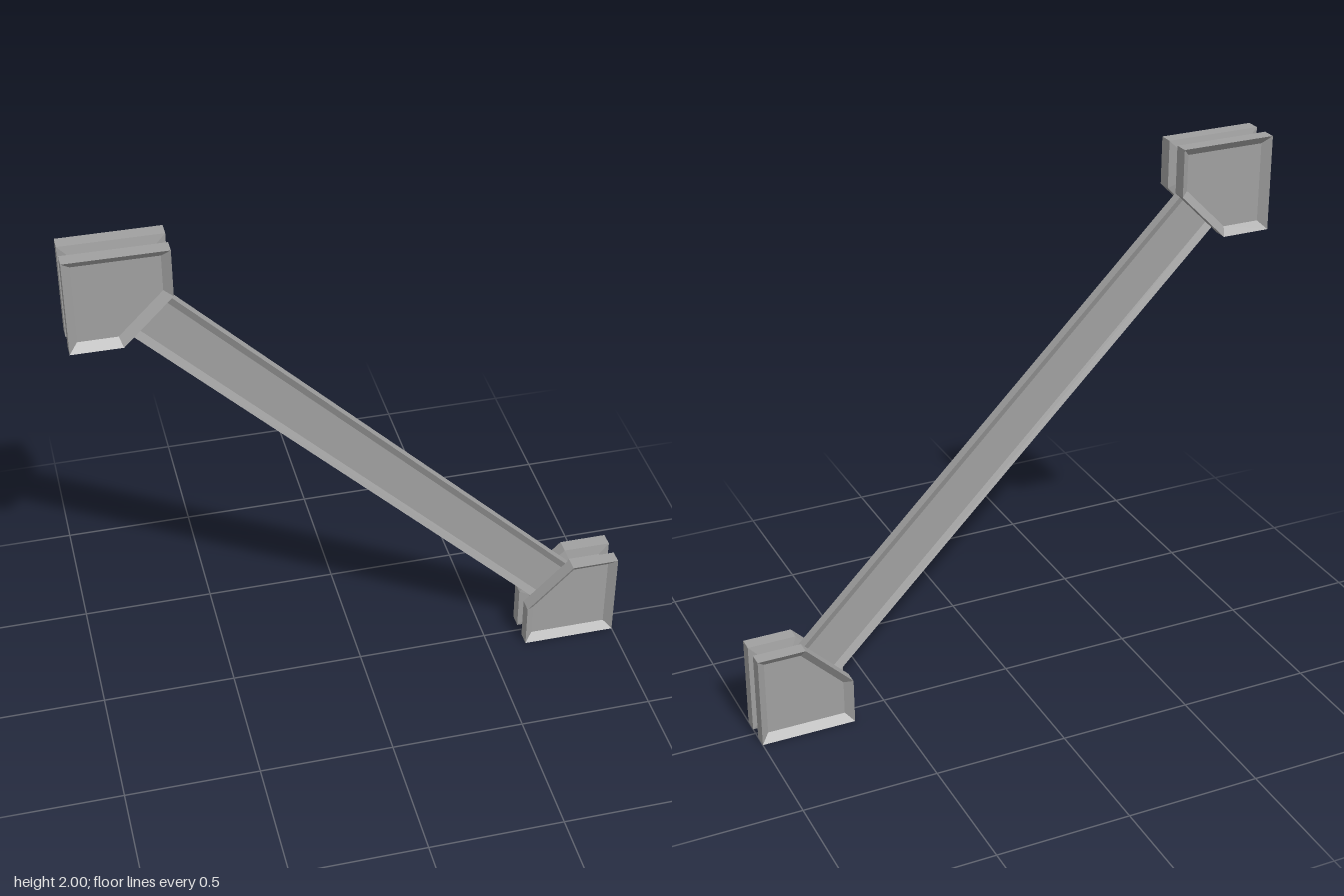
import * as THREE from 'three';

// Bracket outline, counter-clockwise, relative to the model centre
const OUTLINE = [[-1, 0.65], [-0.82, 0.65], [-0.645, 0.825], [-0.645, 1], [-1, 1]]
  .map(([x, y]) => new THREE.Vector2(x, y));

// Move every edge of a convex outline inwards by d
function inset(points, d) {
  const n = points.length;
  return points.map((p, i) => {
    const a = p.clone().sub(points[(i + n - 1) % n]).normalize();
    const b = points[(i + 1) % n].clone().sub(p).normalize();
    const na = new THREE.Vector2(-a.y, a.x), nb = new THREE.Vector2(-b.y, b.x);
    const k = d / (1 + na.dot(nb));
    return p.clone().addScaledVector(na.add(nb), k);
  });
}

// Loft through [inset, z] rings from front to back, with optional end caps
function loft(rings, capFront, capBack) {
  const loops = rings.map(([d, z]) =>
    inset(OUTLINE, d).map(p => new THREE.Vector3(p.x, p.y, z)));
  const n = OUTLINE.length, tris = [];
  for (let r = 0; r < loops.length - 1; r++) {
    const a = loops[r], b = loops[r + 1];
    for (let i = 0; i < n; i++) {
      const j = (i + 1) % n;
      tris.push(a[i], b[i], b[j], a[i], b[j], a[j]);
    }
  }
  const first = loops[0], last = loops[loops.length - 1];
  for (let i = 1; i < n - 1; i++) {
    if (capFront) tris.push(first[0], first[i], first[i + 1]);
    if (capBack) tris.push(last[0], last[i + 1], last[i]);
  }
  const geometry = new THREE.BufferGeometry().setFromPoints(tris);
  geometry.computeVertexNormals();
  return geometry;
}

export function createModel() {
  const metal = new THREE.MeshStandardMaterial({ color: 0xa0a0a0 });
  metal.name = 'greyMetal';
  const model = new THREE.Group();
  model.name = 'diagonalBrace';

  const add = (parent, name, geometry) => {
    const mesh = new THREE.Mesh(geometry, metal);
    mesh.name = name;
    parent.add(mesh);
    return mesh;
  };

  // Dished plate: recessed panel, sharp rim, side wall, slightly tapered inner face
  const plate = [[0.03, 0.055], [0, 0.08], [0, 0.028], [0.04, 0.021]];
  const frontPlate = loft(plate, true, false);
  const backPlate = loft(plate.map(([d, z]) => [d, -z]).reverse(), false, true);
  const core = loft([[0.04, 0.021], [0.04, -0.021]], false, false);

  // Two end brackets, the second turned half a circle
  ['upperBracket', 'lowerBracket'].forEach((name, i) => {
    const bracket = new THREE.Group();
    bracket.name = name;
    add(bracket, 'frontPlate', frontPlate);
    add(bracket, 'backPlate', backPlate);
    add(bracket, 'core', core);
    bracket.position.y = 1;
    bracket.rotation.z = i * Math.PI;
    model.add(bracket);
  });

  // Diagonal beam with a shallow trough along both faces
  const t = 0.019, web = 0.006, h = 0.095, lip = 0.068, length = 2.18;
  const section = new THREE.Shape([
    [t, -h], [web, -lip], [web, lip], [t, h],
    [-t, h], [-web, lip], [-web, -lip], [-t, -h],
  ].map(([x, y]) => new THREE.Vector2(x, y)));
  const beamGeometry = new THREE.ExtrudeGeometry(section, { depth: length, bevelEnabled: false });
  beamGeometry.translate(0, 0, -length / 2).rotateY(Math.PI / 2).rotateZ(-Math.PI / 4);
  add(model, 'beam', beamGeometry).position.y = 1;

  return model;
}
